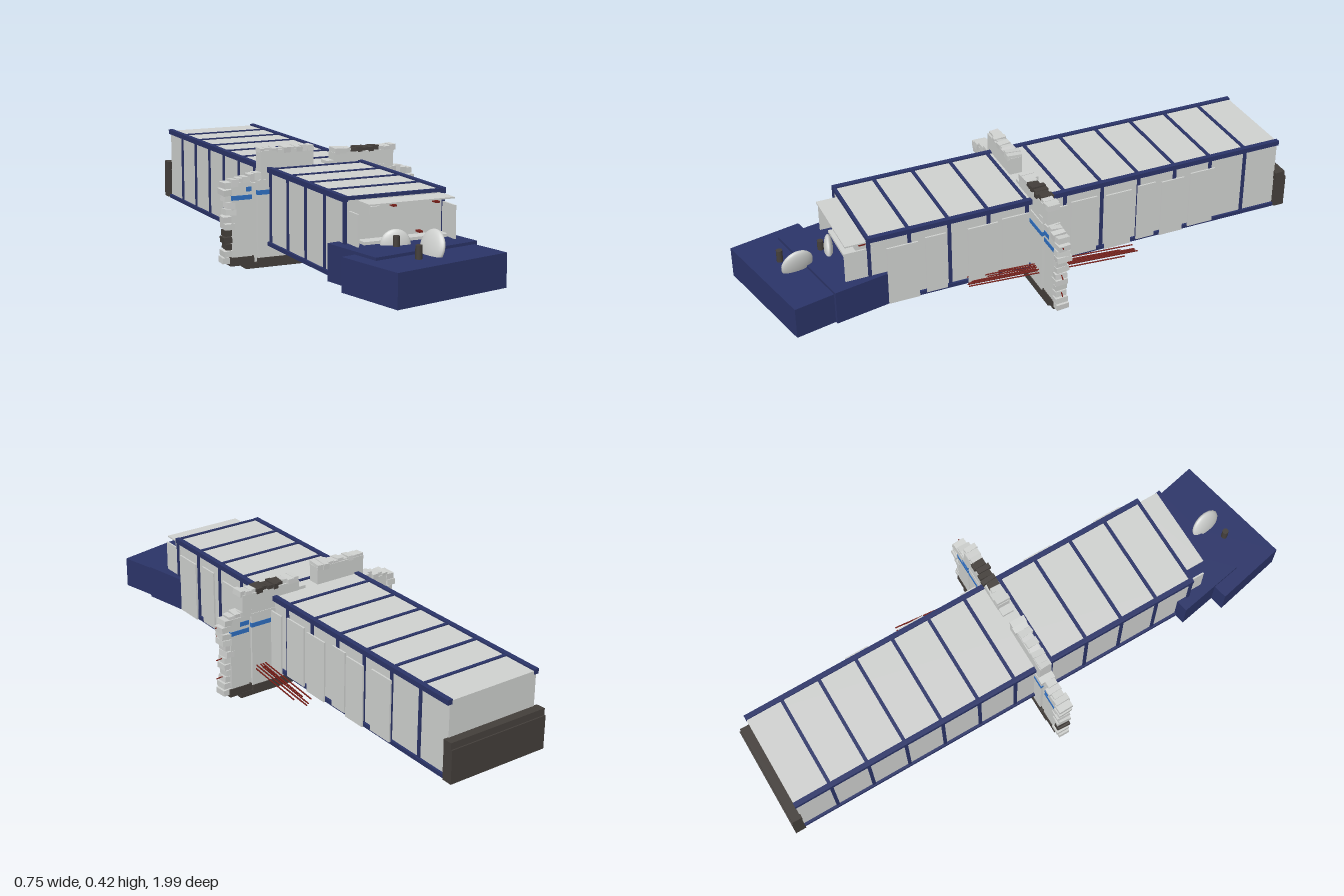
import * as THREE from 'three';

const mat = (name, color) => {
  const m = new THREE.MeshStandardMaterial({ color });
  m.name = name;
  return m;
};

export function createModel() {
  const white = mat('pale panel', 0xcfd1cf);
  const navy = mat('navy', 0x2b3468);
  const blue = mat('stripe blue', 0x2f70c2);
  const dark = mat('charcoal', 0x443f3b);
  const red = mat('rust red', 0x7a2019);

  const model = new THREE.Group();
  const group = (name) => {
    const g = new THREE.Group();
    g.name = name;
    model.add(g);
    return g;
  };
  const mesh = (parent, name, geo, m) => {
    const o = new THREE.Mesh(geo, m);
    o.name = name;
    parent.add(o);
    return o;
  };
  // Box given by its limits on each axis
  const box = (parent, name, m, x0, x1, y0, y1, z0, z1) => {
    const o = mesh(parent, name, new THREE.BoxGeometry(x1 - x0, y1 - y0, z1 - z0), m);
    o.position.set((x0 + x1) / 2, (y0 + y1) / 2, (z0 + z1) / 2);
    return o;
  };
  let seed = 7;
  const rnd = (a, b) => {
    seed = (seed * 16807) % 2147483647;
    return a + (b - a) * (seed / 2147483647);
  };

  // Carriage: pale shell with navy rails and hoops
  const car = group('carriage');
  box(car, 'shell', white, -0.2, 0.152, 0.082, 0.347, -0.955, 0.615);
  for (const x of [-0.2, 0.152]) {
    box(car, 'roofRail', navy, x - 0.009, x + 0.009, 0.335, 0.353, -0.957, 0.62);
    box(car, 'sillRail', navy, x - 0.009, x + 0.009, 0.076, 0.09, -0.957, 0.6);
  }
  for (let i = 0; i < 11; i++) {
    const z = -0.82 + i * 0.1435;
    box(car, 'roofRib', navy, -0.2, 0.152, 0.34, 0.351, z - 0.006, z + 0.006);
    for (const x of [-0.2, 0.152]) {
      box(car, 'sideRib', navy, x - 0.005, x + 0.005, 0.085, 0.345, z - 0.006, z + 0.006);
    }
  }
  box(car, 'frontRim', navy, -0.2, 0.152, 0.346, 0.352, 0.613, 0.619);

  // Rear end: charcoal buffer
  box(car, 'rearBuffer', dark, -0.215, 0.17, 0.08, 0.2, -0.995, -0.955);
  const lip = box(car, 'rearBufferTop', dark, -0.215, 0.17, 0.19, 0.222, -0.99, -0.953);
  lip.rotation.x = 0.06;

  // Loose side plates on the damaged flank
  const plates = [[0.6, 0.7], [0.45, 0.56], [0.345, 0.42], [0.16, 0.27], [0.04, 0.14], [-0.1, -0.04],
    [-0.22, -0.12], [-0.35, -0.25], [-0.45, -0.38], [-0.56, -0.47], [-0.69, -0.59]];
  plates.forEach(([z0, z1], i) => {
    const x = i === 0 ? 0.15 : 0.168 + (i % 2) * 0.01;
    box(car, 'loosePlate', white, x - 0.003, x + 0.003, 0.088, 0.31, z0, z1);
  });

  // Torn front end
  const nose = group('tornFront');
  box(nose, 'frontSill', white, -0.155, 0.15, 0.1, 0.21, 0.61, 0.66);
  box(nose, 'roofFlap', white, -0.155, 0.15, 0.331, 0.336, 0.61, 0.695);
  box(nose, 'leftPlate', white, -0.188, -0.182, 0.09, 0.305, 0.6, 0.68);
  box(nose, 'frontPanel', white, -0.115, -0.08, 0.287, 0.313, 0.615, 0.623);
  for (const [x, y] of [[-0.035, 0.313], [0.12, 0.312], [0.06, 0.22]]) {
    box(nose, 'rustHook', red, x - 0.007, x + 0.007, y - 0.003, y + 0.003, 0.61, 0.64);
  }

  // Two navy plinths knocked askew
  const plinth = (name, w, h, d, x, z, a) => {
    const o = mesh(nose, name, new THREE.BoxGeometry(w, h, d), navy);
    o.position.set(x, 0.077 + h / 2, z);
    o.rotation.y = a;
  };
  plinth('lowerPlinth', 0.445, 0.113, 0.266, -0.024, 0.816, 0.215);
  plinth('upperPlinth', 0.407, 0.123, 0.25, -0.022, 0.667, 0.185);

  // Dishes and posts on the plinths
  const dish = (x, y, z, r, ry, rz) => {
    const o = mesh(nose, 'dish', new THREE.SphereGeometry(r, 24, 14), white);
    o.scale.set(0.32, 1, 1);
    o.position.set(x, y, z);
    o.rotation.set(0, ry, rz);
  };
  dish(0, 0.212, 0.82, 0.058, 0.15, -0.25);
  dish(-0.06, 0.2, 0.69, 0.05, 1.3, 0);
  for (const z of [0.86, 0.715]) {
    const o = mesh(nose, 'post', new THREE.CylinderGeometry(0.011, 0.011, 0.05, 16), dark);
    o.position.set(-0.07, 0.209, z);
  }

  // Broken wall standing across the carriage
  const wall = group('brokenWall');
  box(wall, 'footing', dark, -0.29, 0.3, 0, 0.02, -0.026, 0.026);
  box(wall, 'centreSlab', white, -0.245, 0.25, 0.035, 0.31, -0.024, 0.028);
  box(wall, 'centreBase', dark, -0.245, 0.25, 0.01, 0.036, -0.027, 0.031);
  for (const [x0, x1] of [[-0.34, -0.268], [0.262, 0.336]]) {
    box(wall, 'sidePier', white, x0, x1, 0.045, 0.308, -0.022, 0.024);
    box(wall, 'sideBase', dark, x0 - 0.008, x1 + 0.008, 0.015, 0.045, -0.025, 0.027);
    box(wall, 'pierStripe', blue, x0 - 0.001, x1 + 0.001, 0.246, 0.262, -0.024, 0.026);
  }
  for (const [x0, x1] of [[-0.27, -0.245], [0.25, 0.264]]) {
    box(wall, 'joint', white, x0, x1, 0.02, 0.3, -0.015, 0.015);
  }
  box(wall, 'centreStripe', blue, -0.246, 0.251, 0.259, 0.275, -0.026, 0.03);
  box(wall, 'upperStripe', blue, -0.287, -0.267, 0.274, 0.29, -0.024, 0.026);
  box(wall, 'upperStripe', blue, 0.261, 0.297, 0.274, 0.29, -0.024, 0.026);
  box(wall, 'leftTower', white, -0.23, -0.03, 0.3, 0.41, -0.022, 0.024);
  box(wall, 'rightTower', white, 0.05, 0.285, 0.3, 0.385, -0.022, 0.024);
  box(wall, 'rightTowerStep', white, 0.02, 0.055, 0.3, 0.358, -0.02, 0.022);

  // Ragged bricks along the broken edges
  const brick = (x, y, w, h, m = white) => {
    const o = mesh(wall, 'brick', new THREE.BoxGeometry(w, h, rnd(0.035, 0.055)), m);
    o.position.set(x, y, rnd(-0.003, 0.005));
    o.rotation.set(rnd(-0.08, 0.08), rnd(-0.08, 0.08), rnd(-0.09, 0.09));
  };
  for (let y = 0.035; y < 0.3; y += 0.024) {
    const burnt = y > 0.07 && y < 0.15;
    brick(-0.347 + rnd(-0.008, 0.006), y, rnd(0.026, 0.04), 0.021, burnt ? dark : white);
    brick(0.344 + rnd(-0.006, 0.01), y, rnd(0.024, 0.04), 0.021);
  }
  for (let x = -0.33; x < -0.23; x += 0.022) {
    brick(x, 0.305 + (x + 0.33) * 0.2, 0.025, rnd(0.018, 0.03));
    brick(-x - 0.005, 0.305 + (x + 0.33) * 0.2, 0.025, rnd(0.018, 0.03));
  }
  for (let x = -0.22; x < -0.03; x += 0.022) brick(x, 0.41, rnd(0.018, 0.028), rnd(0.01, 0.022));
  for (let x = 0.062; x < 0.285; x += 0.022) {
    brick(x, 0.39, rnd(0.018, 0.028), rnd(0.012, 0.022), x > 0.12 && x < 0.23 ? dark : white);
  }

  // Bent reinforcing bars beside the carriage
  const bars = group('reinforcingBars');
  const bar = (a, b, r) => {
    const d = b.clone().sub(a);
    const o = mesh(bars, 'bar', new THREE.CylinderGeometry(r, r, d.length(), 6), red);
    o.position.copy(a).addScaledVector(d, 0.5);
    o.quaternion.setFromUnitVectors(new THREE.Vector3(0, 1, 0), d.normalize());
  };
  for (let i = 0; i < 4; i++) {
    for (const y of [0.094, 0.107]) {
      const x = 0.168 + i * 0.012;
      bar(new THREE.Vector3(x, y, rnd(0.2, 0.285)), new THREE.Vector3(x + 0.056, y + 0.002, rnd(-0.35, -0.28)), 0.0025);
    }
  }
  for (const y of [0.085, 0.155, 0.278]) {
    bar(new THREE.Vector3(0.34, y + 0.008, 0), new THREE.Vector3(0.378, y, 0.008), 0.002);
  }
  return model;
}
